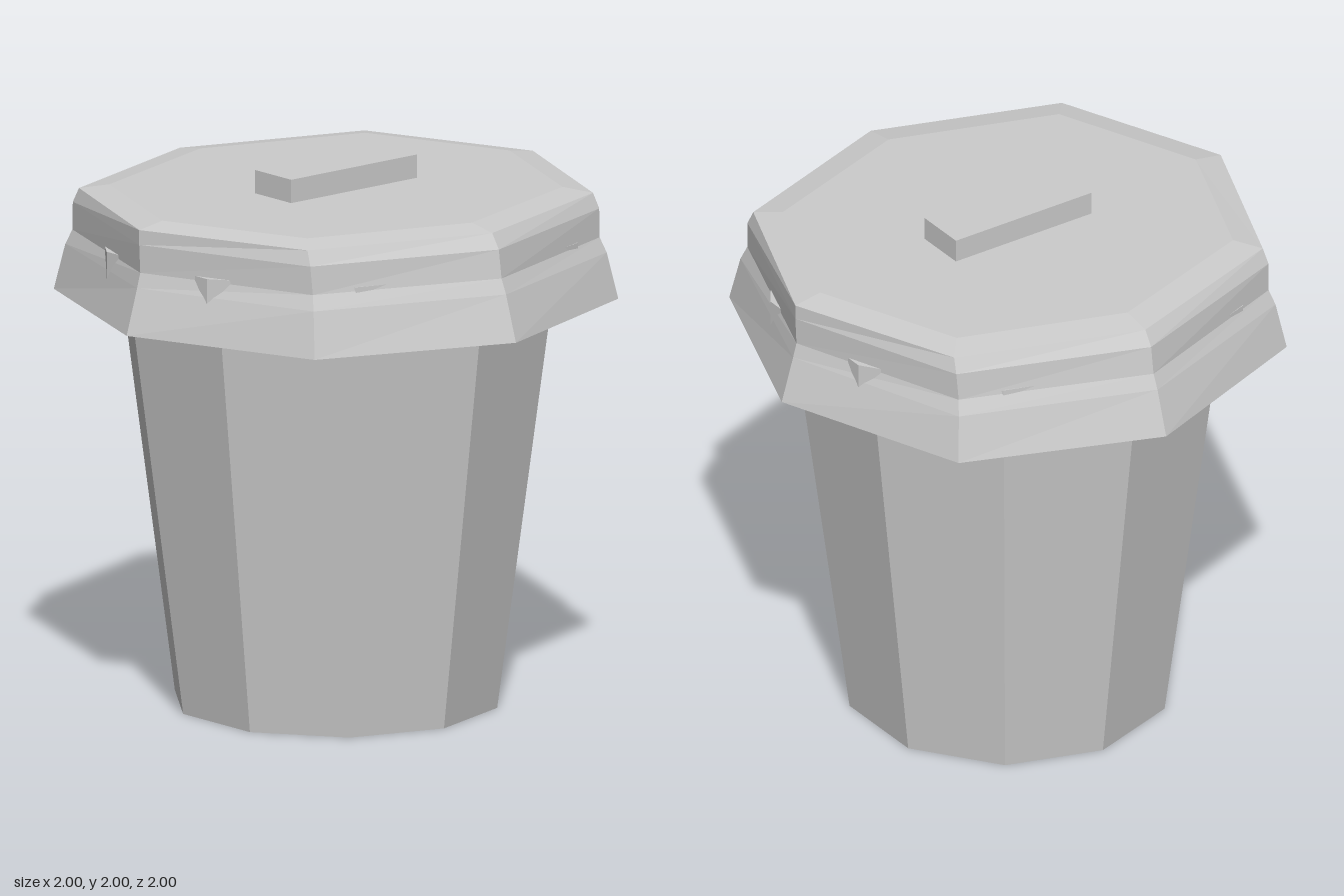
import * as THREE from 'three';

const material = new THREE.MeshStandardMaterial({ color: 0xcccccc, flatShading: true });
const sheet = new THREE.MeshStandardMaterial({ color: 0xcccccc, flatShading: true, side: THREE.DoubleSide });

function part(name, geometry, y, mat = material) {
  const mesh = new THREE.Mesh(geometry, mat);
  mesh.name = name;
  mesh.position.y = y;
  return mesh;
}

// Lid cross-sections: height, x of side corners, z of front/back corners, x and z of diagonal corners
const lidRings = [
  [1.51, 1.0, 1.0, 0.725, 0.725],
  [1.68, 0.95, 0.945, 0.7, 0.69],
  [1.735, 0.935, 0.92, 0.685, 0.668],
  [1.84, 0.94, 0.905, 0.69, 0.66],
  [1.895, 0.94, 0.868, 0.682, 0.635],
  [1.913, 0.83, 0.755, 0.61, 0.55],
];

function lidGeometry() {
  const pos = [], index = [], sides = 8;
  for (const [y, sx, fz, dx, dz] of lidRings) {
    for (let i = 0; i < sides; i++) {
      const a = (i / sides) * Math.PI * 2;
      const diagonal = i % 2 === 1;
      const x = diagonal ? Math.sign(Math.sin(a)) * dx : Math.round(Math.sin(a)) * sx;
      const z = diagonal ? Math.sign(Math.cos(a)) * dz : Math.round(Math.cos(a)) * fz;
      pos.push(x, y, z);
    }
  }
  const last = lidRings.length - 1;
  const centre = pos.length / 3;
  pos.push(0, lidRings[last][0], 0);
  for (let i = 0; i < sides; i++) {
    const n = (i + 1) % sides;
    for (let r = 0; r < last; r++) {
      const a = r * sides + i, b = r * sides + n;
      index.push(a, b, b + sides, a, b + sides, a + sides);
    }
    index.push(centre, last * sides + i, last * sides + n);
  }
  const geometry = new THREE.BufferGeometry();
  geometry.setAttribute('position', new THREE.Float32BufferAttribute(pos, 3));
  geometry.setIndex(index);
  geometry.computeVertexNormals();
  return geometry;
}

export function createModel() {
  const model = new THREE.Group();
  model.name = 'trashCan';

  // Tapered ten-sided bin
  model.add(part('body', new THREE.CylinderGeometry(0.8, 0.6, 1.5, 10), 0.75));

  // Rim whose corners just break through the lid's skirt
  model.add(part('rim', new THREE.CylinderGeometry(0.9, 0.9, 0.25, 10), 1.625));

  // Hollow flared lid
  model.add(part('lid', lidGeometry(), 0, sheet));

  // Bar handle
  model.add(part('handle', new THREE.BoxGeometry(0.6, 0.1, 0.2), 1.95));

  return model;
}
